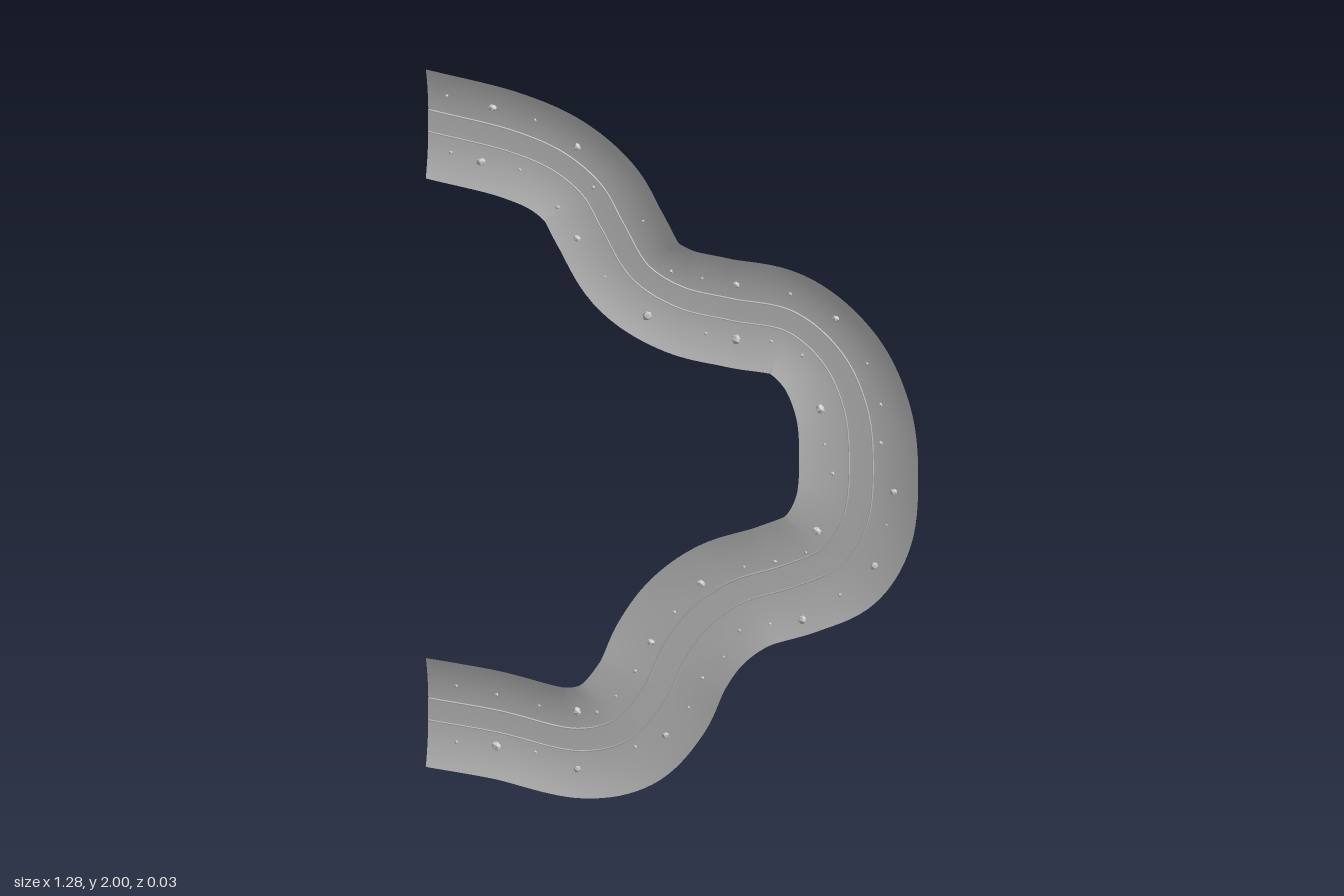
import * as THREE from 'three';

const HALF = 0.155;   // half width of the valley strip
const ROAD = 0.031;   // half width of the road
const STEPS = 220;

// Centre line of the winding valley
const path = new THREE.CatmullRomCurve3([
  [-0.64, 0.172], [-0.46, 0.172], [-0.25, 0.16], [-0.14, 0.207], [-0.053, 0.324], [0, 0.456],
  [0.064, 0.562], [0.159, 0.653], [0.3, 0.727], [0.407, 0.8], [0.468, 0.918], [0.483, 1.075],
  [0.468, 1.236], [0.407, 1.368], [0.3, 1.448], [0.143, 1.453], [0.011, 1.464], [-0.09, 1.517],
  [-0.162, 1.639], [-0.212, 1.729], [-0.296, 1.793], [-0.413, 1.828], [-0.64, 1.847],
].map(([x, y]) => new THREE.Vector3(x, y, 0)), false, 'centripetal');

// Height of the valley floor along the path, and its rise towards the rims
const floorZ = (u) => -0.009 - 0.013 * THREE.MathUtils.smoothstep(u, 0.15, 0.45)
  * (1 - THREE.MathUtils.smoothstep(u, 0.7, 0.88));
const rise = (d) => 0.019 * Math.pow(Math.min(1, Math.abs(d) / HALF), 2.2);

// Sampled frames: centre point and the unit sideways direction (left of travel)
const frames = Array.from({ length: STEPS + 1 }, (_, i) => {
  const u = i / STEPS;
  const t = path.getTangentAt(u);
  if (i === 0 || i === STEPS) t.set(Math.sign(t.x), 0, 0);
  return { u, p: path.getPointAt(u), nx: -t.y, ny: t.x };
});

// Sweep a cross-section of [sideways offset, lift] pairs along the path
function sweep(name, section, material) {
  const pos = [], index = [], n = section.length;
  for (const { u, p, nx, ny } of frames) {
    for (const [d, lift] of section) {
      pos.push(Math.max(-0.64, p.x + nx * d), p.y + ny * d, floorZ(u) + rise(d) + lift);
    }
  }
  for (let i = 0; i < STEPS; i++) {
    for (let j = 0; j < n - 1; j++) {
      const a = i * n + j, b = a + n;
      index.push(a, b, a + 1, b, b + 1, a + 1);
    }
  }
  const g = new THREE.BufferGeometry();
  g.setAttribute('position', new THREE.Float32BufferAttribute(pos, 3));
  g.setIndex(index);
  g.computeVertexNormals();
  const mesh = new THREE.Mesh(g, material);
  mesh.name = name;
  return mesh;
}

// Stones lying on the slopes, as x, y pairs
const bigStones = [
  -0.47, 1.92, -0.25, 1.85, -0.5, 1.76, -0.25, 1.59, -0.07, 1.4, 0.16, 1.53, 0.16, 1.375,
  0.42, 1.485, 0.38, 1.22, 0.57, 1.02, 0.37, 0.87, 0.52, 0.8, 0.07, 0.665, 0.335, 0.615,
  -0.06, 0.475, -0.25, 0.245, -0.02, 0.22, -0.46, 0.105, -0.25, 0.08,
];
const smallStones = [
  -0.59, 1.93, -0.36, 1.905, -0.58, 1.77, -0.4, 1.755, -0.3, 1.67, -0.18, 1.49, -0.21, 1.74,
  -0.08, 1.67, -0.01, 1.535, 0.07, 1.53, 0.3, 1.53, 0.08, 1.375, 0.25, 1.385, 0.33, 1.36,
  0.5, 1.37, 0.535, 1.26, 0.39, 1.12, 0.41, 1.04, 0.55, 0.92, 0.535, 1.15, 0.34, 0.8,
  0.26, 0.76, 0.18, 0.73, 0.43, 0.7, 0.25, 0.585, 0.17, 0.55, 0, 0.57, 0.13, 0.47,
  0.075, 0.4, 0.04, 0.31, -0.1, 0.385, -0.15, 0.305, -0.2, 0.25, -0.35, 0.24, -0.46, 0.25,
  -0.565, 0.255, -0.1, 0.17, -0.565, 0.095, -0.36, 0.105,
];

// Ground height under a point, from the nearest frame
function groundZ(x, y) {
  let best = Infinity, u = 0;
  for (const f of frames) {
    const d = Math.hypot(x - f.p.x, y - f.p.y);
    if (d < best) { best = d; u = f.u; }
  }
  return floorZ(u) + rise(best);
}

function addStones(group, name, list, radius, material) {
  const geometry = new THREE.IcosahedronGeometry(1, 0);
  for (let i = 0; i < list.length; i += 2) {
    const [x, y] = [list[i], list[i + 1]];
    const r = radius * (0.85 + 0.15 * Math.sin(i * 1.7));
    const stone = new THREE.Mesh(geometry, material);
    stone.name = name;
    stone.scale.set(r, r * 0.85, r * 0.75);
    stone.rotation.z = i * 0.9;
    stone.position.set(x, y, groundZ(x, y) + r * 0.3);
    group.add(stone);
  }
}

export function createModel() {
  const model = new THREE.Group();
  model.name = 'windingValleyRoad';
  const sheet = new THREE.MeshStandardMaterial({ color: 0xcccccc, side: THREE.DoubleSide });
  const rock = new THREE.MeshStandardMaterial({ color: 0xcccccc, flatShading: true });

  // Dished ground strip, wound to face the front
  const ground = [];
  for (let j = 0; j <= 24; j++) ground.push([HALF * (1 - j / 12), 0]);
  ground.reverse();
  const flip = (section) => section.slice().reverse();
  model.add(sweep('valleyGround', flip(ground).reverse(), sheet));

  // Road surface and its two thin kerbs
  model.add(sweep('roadSurface', [[-ROAD, 0.0008], [0, 0.0008], [ROAD, 0.0008]], sheet));
  for (const side of [-1, 1]) {
    const c = side * ROAD;
    model.add(sweep(side < 0 ? 'rightKerb' : 'leftKerb',
      [[c - 0.002, -0.0005], [c - 0.0015, 0.0025], [c + 0.0015, 0.0025], [c + 0.002, -0.0005]], sheet));
  }

  // Scattered stones
  const stones = new THREE.Group();
  stones.name = 'stones';
  addStones(stones, 'bigStone', bigStones, 0.014, rock);
  addStones(stones, 'smallStone', smallStones, 0.006, rock);
  model.add(stones);
  return model;
}
